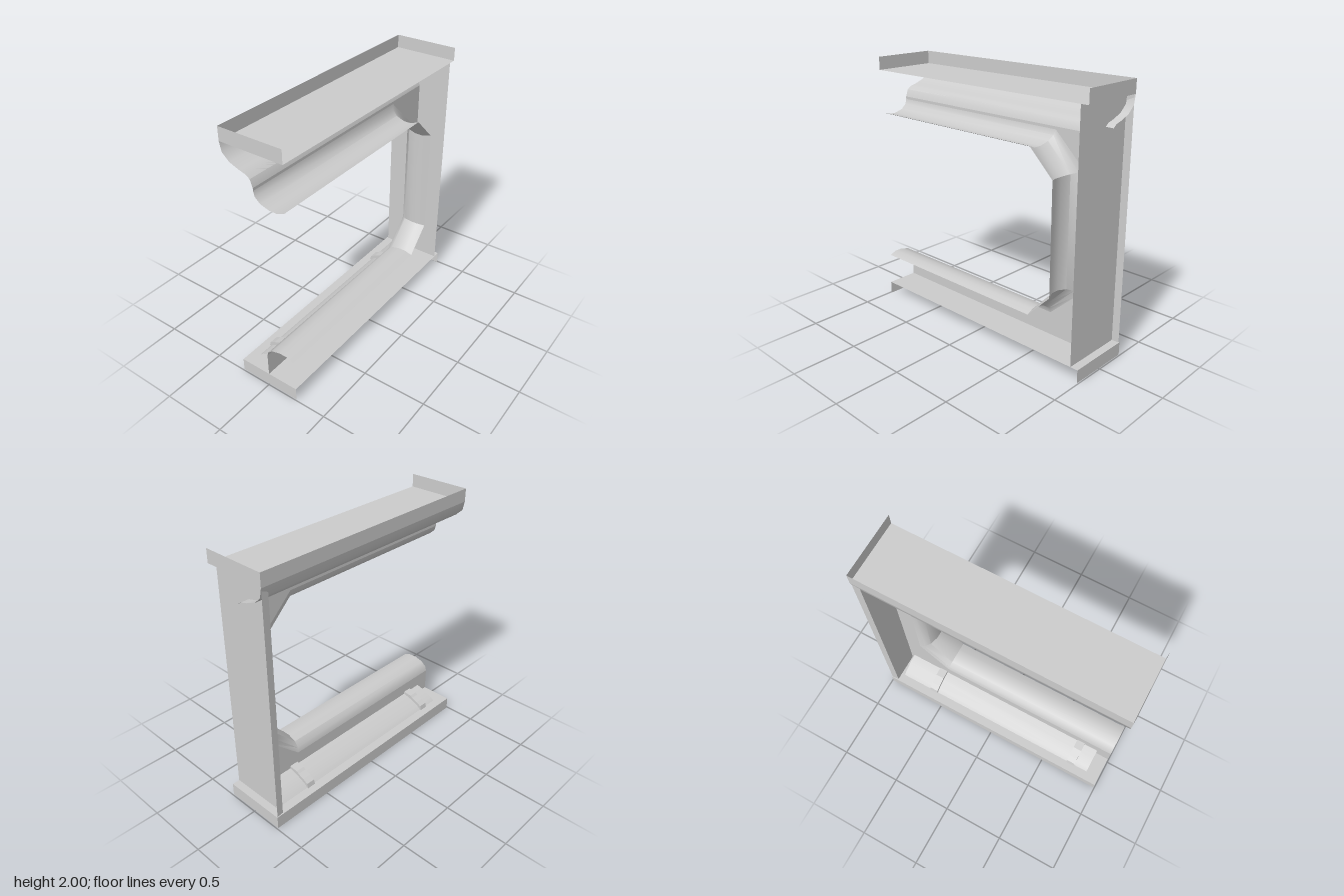
import * as THREE from 'three';
import { toCreasedNormals } from 'three/addons/utils/BufferGeometryUtils.js';

const material = new THREE.MeshStandardMaterial({ color: 0xcccccc, side: THREE.DoubleSide });
const X = 0.99, Z = 0.25, SIDE = 0.93, WALL_TOP = 1.66;

// Ruled sheet through rows of [x, y, z] points, smooth across gentle bends
function sheet(name, rows) {
  const positions = [];
  for (let r = 0; r < rows.length - 1; r++) {
    for (let i = 0; i < rows[r].length - 1; i++) {
      const a = rows[r][i], b = rows[r][i + 1], c = rows[r + 1][i + 1], d = rows[r + 1][i];
      positions.push(...a, ...b, ...c, ...a, ...c, ...d);
    }
  }
  const geometry = new THREE.BufferGeometry();
  geometry.setAttribute('position', new THREE.Float32BufferAttribute(positions, 3));
  return named(name, toCreasedNormals(geometry, 0.7));
}

function named(name, geometry) {
  const mesh = new THREE.Mesh(geometry, material);
  mesh.name = name;
  return mesh;
}

// Strip with a [z, y] profile swept along x
const alongX = (name, x0, x1, profile) =>
  sheet(name, [x0, x1].map((x) => profile.map(([z, y]) => [x, y, z])));

// Open tray: a plate, a back rim and two end flaps
function tray(name, plateY, rimY) {
  const group = new THREE.Group();
  group.name = name;
  group.add(alongX(name + 'Plate', -X, X, [[Z, plateY], [-Z, plateY], [-Z, rimY]]));
  for (const x of [-X, X]) {
    group.add(sheet(name + 'EndFlap', [plateY, rimY].map((y) => [[x, y, Z], [x, y, -Z]])));
  }
  return group;
}

export function createModel() {
  const model = new THREE.Group();
  model.add(tray('topTray', 1.9, 2), tray('baseTray', 0.1, 0));

  // Curved cove under the top tray, and the slope leading it into the wall
  model.add(alongX('upperCove', -X, X,
    [[-Z, 1.9], [-0.235, 1.83], [-0.18, 1.78], [-0.1, 1.75], [-0.05, 1.737], [-0.02, 1.715]]));
  model.add(alongX('wallTop', -X, SIDE, [[-0.05, 1.737], [-0.02, 1.715], [0, WALL_TOP]]));

  // Side panel with a narrow flange at its back edge
  model.add(sheet('sidePanel', [0.1, 1.9].map((y) =>
    [[SIDE, y, Z], [SIDE, y, -0.24], [X - 0.005, y, -0.245]])));

  // Window outlines, open towards -x
  const outer = [[-X, 1.64], [0.55, 1.64], [0.8, 1.4], [0.8, 0.51], [0.55, 0.28], [-X, 0.28]];
  const inner = [[-X, 1.545], [0.52, 1.545], [0.7, 1.37], [0.7, 0.55], [0.53, 0.37], [-X, 0.37]];

  // Wall around the window, with a slot for the upright bar
  const wall = new THREE.Shape();
  wall.moveTo(-X, WALL_TOP);
  for (const [x, y] of outer) wall.lineTo(x, y);
  wall.lineTo(-X, 0.1);
  wall.lineTo(SIDE, 0.1);
  wall.lineTo(SIDE, WALL_TOP);
  const slot = [[0.86, 0.68], [0.86, 1.32], [0.918, 1.32], [0.918, 0.68]];
  wall.holes.push(new THREE.Path(slot.map(([x, y]) => new THREE.Vector2(x, y))));
  model.add(named('wall', new THREE.ShapeGeometry(wall)));

  // Window frame: [inward share, z] steps from the wall to the front lip
  const steps = [[0, 0], [0.4, 0.01], [0.78, 0.05], [1, 0.12], [1, 0.18], [0.76, 0.24]];
  model.add(sheet('windowFrame', steps.map(([t, z]) => outer.map(([x, y], i) =>
    [x + (inner[i][0] - x) * t, y + (inner[i][1] - y) * t, z]))));

  // Upright bar covering the slot
  const bar = named('wallBar', new THREE.BoxGeometry(0.08, 0.66, 0.03));
  bar.position.set(0.888, 1, 0.016);
  model.add(bar);

  // Low sloped duct behind the foot of the wall, with two clips over it
  model.add(alongX('rearDuct', -0.88, 0.9, [[-0.18, 0.1], [-0.15, 0.125], [-0.07, 0.16], [0, 0.18]]));
  const clip = new THREE.Shape();
  [[-0.19, 0.1], [-0.18, 0.135], [-0.14, 0.158], [-0.09, 0.178], [-0.07, 0.192], [0, 0.2], [0, 0.1]]
    .forEach(([z, y], i) => (i ? clip.lineTo(-z, y) : clip.moveTo(-z, y)));
  for (const x of [0.6, -0.73]) {
    const mesh = named('ductClip', new THREE.ExtrudeGeometry(clip, { depth: 0.07, bevelEnabled: false }));
    mesh.rotation.y = Math.PI / 2;
    mesh.position.x = x - 0.035;
    model.add(mesh);
  }
  return model;
}
